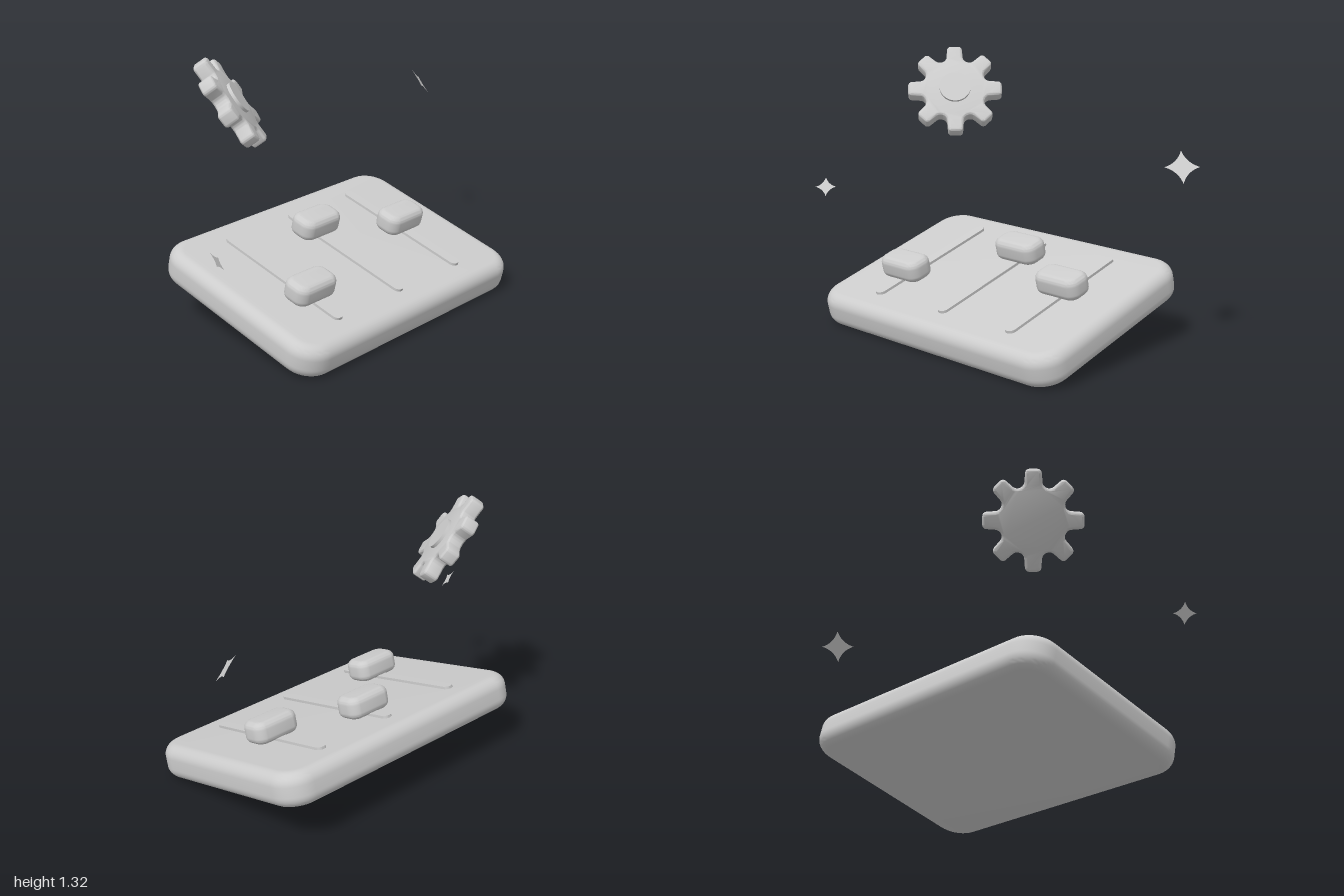
import * as THREE from 'three';
import { toCreasedNormals } from 'three/addons/utils/BufferGeometryUtils.js';

const grey = new THREE.MeshStandardMaterial({ color: 0xcccccc });
grey.name = 'light grey';
const greyFlat = grey.clone();
greyFlat.name = 'light grey two-sided';
greyFlat.side = THREE.DoubleSide;

// Closed outline through corner points, each corner rounded over distance r
function roundedOutline(points, r) {
  const shape = new THREE.Shape();
  const n = points.length;
  points.forEach((p, i) => {
    const prev = points[(i + n - 1) % n], next = points[(i + 1) % n];
    const a = p.clone().add(prev.clone().sub(p).setLength(r));
    const b = p.clone().add(next.clone().sub(p).setLength(r));
    if (i === 0) shape.moveTo(a.x, a.y); else shape.lineTo(a.x, a.y);
    // handles that approximate a circular corner
    const c1 = a.clone().lerp(p, 0.55), c2 = b.clone().lerp(p, 0.55);
    shape.bezierCurveTo(c1.x, c1.y, c2.x, c2.y, b.x, b.y);
  });
  shape.closePath();
  return shape;
}

function rectOutline(w, h, r) {
  const x = w / 2, y = h / 2;
  return roundedOutline([[-x, -y], [x, -y], [x, y], [-x, y]].map(p => new THREE.Vector2(...p)), r);
}

// Slab of total thickness t with soft edges, centred on z
function slab(shape, t, bevel, curveSegments = 10, bevelSegments = 10) {
  const geo = new THREE.ExtrudeGeometry(shape, {
    depth: t - 2 * bevel, bevelEnabled: bevel > 0, bevelThickness: bevel,
    bevelSize: bevel, bevelOffset: -bevel, bevelSegments, curveSegments,
  });
  geo.translate(0, 0, -(t - 2 * bevel) / 2);
  return toCreasedNormals(geo, 0.6);
}

function add(parent, name, geo, material, x = 0, y = 0, z = 0) {
  const mesh = new THREE.Mesh(geo, material);
  mesh.name = name;
  mesh.position.set(x, y, z);
  parent.add(mesh);
  return mesh;
}

// Turns an object so its +z points along the shared diagonal
function faceDiagonal(object) {
  object.lookAt(object.position.clone().addScalar(1));
}

export function createModel() {
  const model = new THREE.Group();
  model.name = 'settingsPanel';

  // Tilted panel
  const panel = new THREE.Group();
  panel.name = 'sliderPanel';
  panel.position.set(0.045, 0.1975, 0);
  panel.rotation.x = 0.244;
  model.add(panel);
  const lay = geo => geo.rotateX(-Math.PI / 2);
  add(panel, 'panelBody', lay(slab(rectOutline(1.51, 1.045, 0.14), 0.17, 0.06)), grey);

  // Rails, each with a knob at its own position
  const rail = lay(slab(rectOutline(0.055, 0.775, 0.0274), 0.024, 0));
  const knob = lay(slab(rectOutline(0.252, 0.15, 0.055), 0.11, 0.035));
  [[-0.427, 0.173], [0, -0.213], [0.425, -0.019]].forEach(([x, z]) => {
    add(panel, 'rail', rail, grey, x, 0.086, 0);
    add(panel, 'knob', knob, grey, x, 0.143, z);
  });

  // Floating gear
  const gear = new THREE.Group();
  gear.name = 'gear';
  gear.position.set(-0.457, 1.11, -0.232);
  faceDiagonal(gear);
  model.add(gear);
  const teeth = 8, outline = [];
  for (let i = 0; i < teeth; i++) {
    const angle = (i / teeth) * Math.PI * 2;
    [[0.158, -0.043], [0.238, -0.037], [0.238, 0.037], [0.158, 0.043]].forEach(([x, y]) =>
      outline.push(new THREE.Vector2(x, y).rotateAround(new THREE.Vector2(), angle)));
  }
  add(gear, 'gearBody', slab(roundedOutline(outline, 0.018), 0.076, 0.014, 6, 6), grey);
  const hub = new THREE.CylinderGeometry(0.079, 0.079, 0.03, 48).rotateX(Math.PI / 2);
  add(gear, 'gearHub', hub, grey, 0, 0, 0.038);

  // Four-pointed sparkles
  [[0.937, 0.915, -0.255, 0.082], [-0.963, 0.605, 0.214, 0.053]].forEach(([x, y, z, r]) => {
    const star = new THREE.Shape();
    const k = 0.24 * r;
    star.moveTo(r, 0);
    star.quadraticCurveTo(k, k, 0, r);
    star.quadraticCurveTo(-k, k, -r, 0);
    star.quadraticCurveTo(-k, -k, 0, -r);
    star.quadraticCurveTo(k, -k, r, 0);
    faceDiagonal(add(model, 'sparkle', new THREE.ShapeGeometry(star, 10), greyFlat, x, y, z));
  });

  return model;
}
